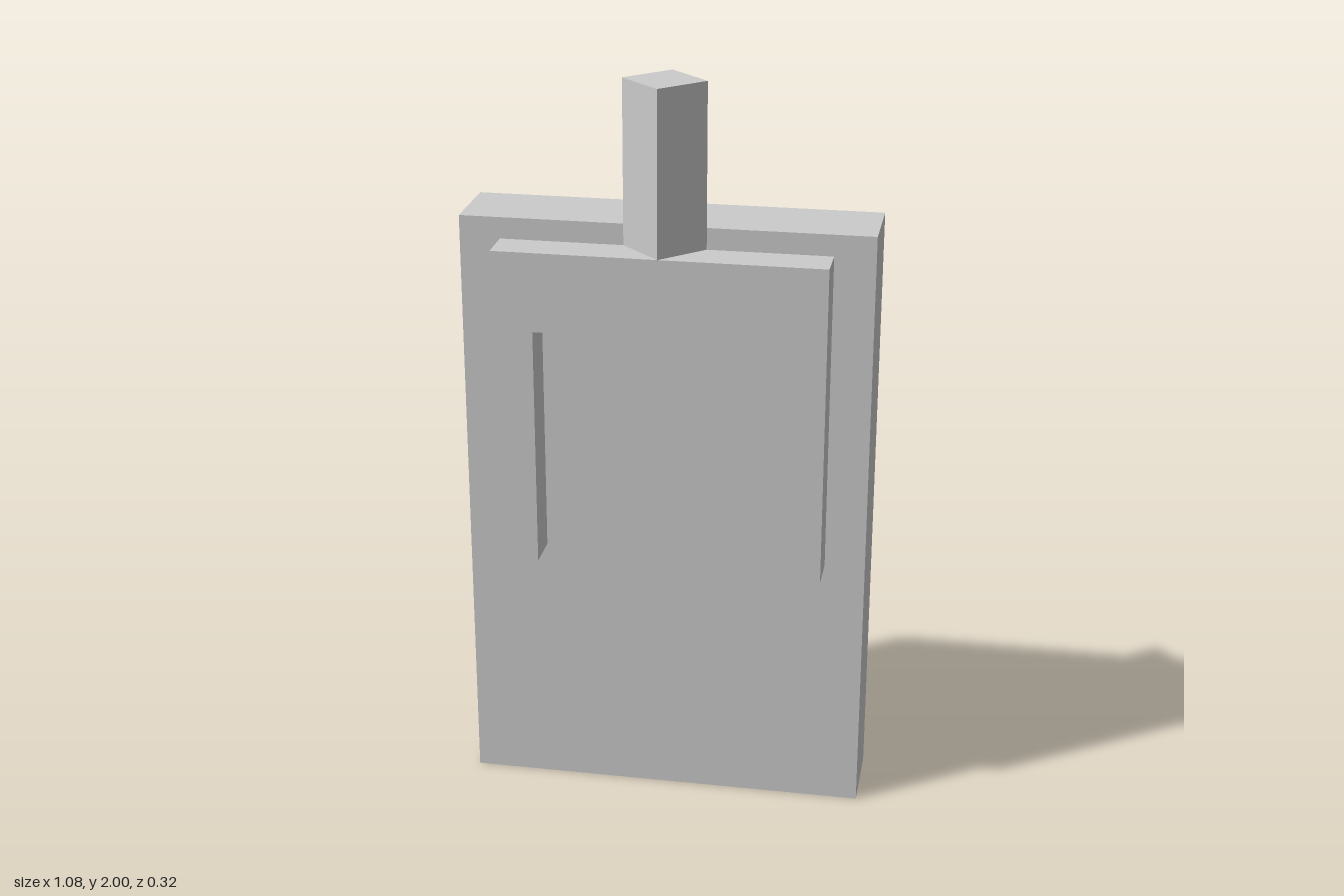
import * as THREE from 'three';

export function createModel() {
  const model = new THREE.Group();
  const material = new THREE.MeshStandardMaterial({ color: 0xcccccc, flatShading: true });

  const add = (name, geometry, x, y, z) => {
    const mesh = new THREE.Mesh(geometry, material);
    mesh.name = name;
    mesh.position.set(x, y, z);
    model.add(mesh);
  };

  const seam = 0.054; // z of the slab's front face
  const slabHeight = 1.625;

  // Main upright slab
  add('slab', new THREE.BoxGeometry(1.076, slabHeight, 0.215), 0, slabHeight / 2, seam - 0.1075);

  // Raised arch on the front: two legs under a crossbar
  const arch = new THREE.Shape([
    [-0.431, 0.71], [-0.325, 0.71], [-0.325, 1.357], [0.325, 1.357],
    [0.325, 0.71], [0.431, 0.71], [0.431, 1.568], [-0.431, 1.568],
  ].map(([x, y]) => new THREE.Vector2(x, y)));
  add('frontArch', new THREE.ExtrudeGeometry(arch, { depth: 0.107, bevelEnabled: false }), 0, 0, seam);

  // Square post set diagonally over the seam
  const postBottom = 1.565;
  const postHeight = 2 - postBottom;
  add('post', new THREE.CylinderGeometry(0.1075, 0.1075, postHeight, 4), 0, postBottom + postHeight / 2, seam);

  return model;
}
